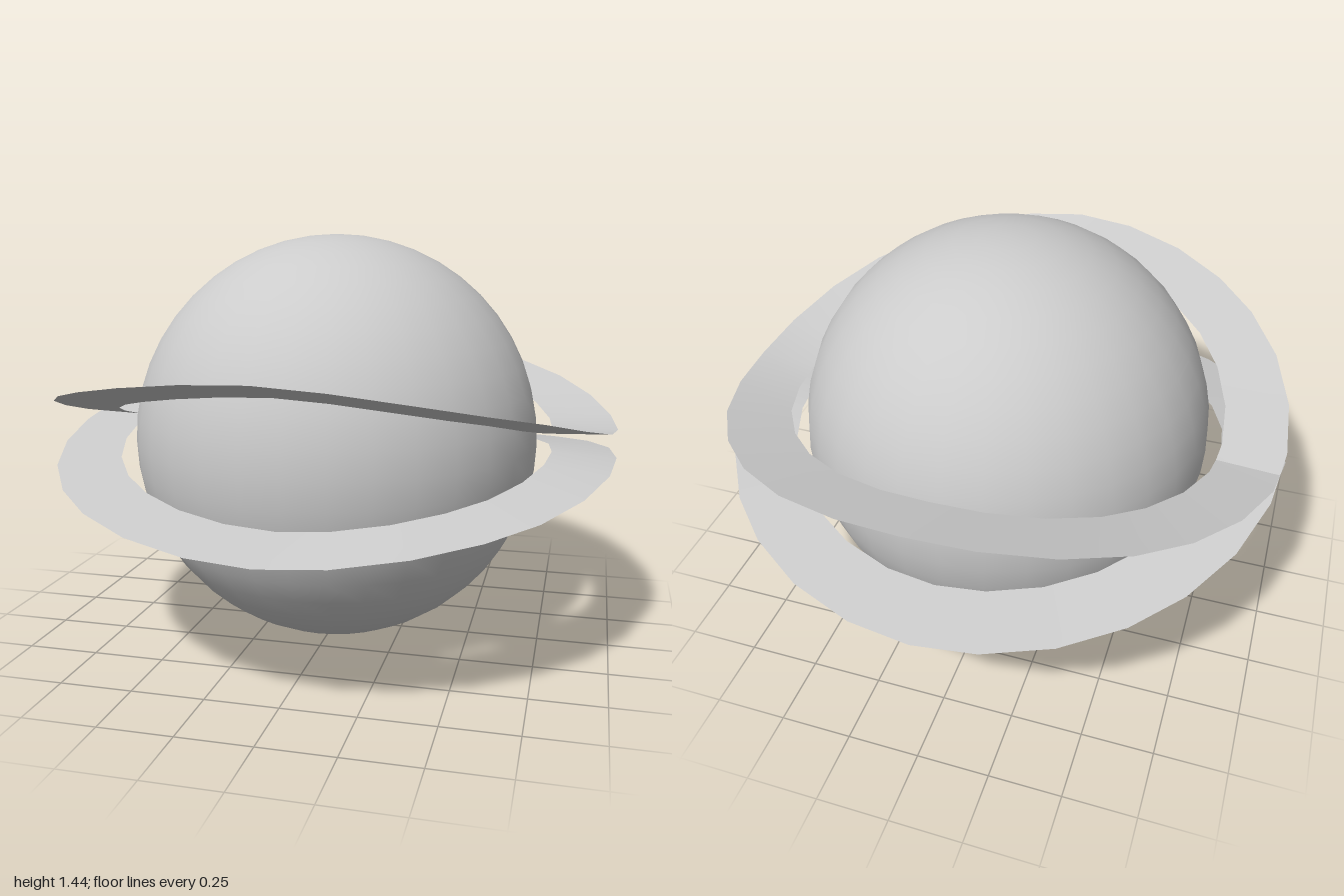
import * as THREE from 'three';

const OUTER = 0.995, INNER = 0.775, MID_Y = 0.74;

// Outer-edge heights every 45 degrees over two turns, from +x towards +z
const HEIGHTS = [
  0.79, 0.94, 1.06, 0.96, 0.775, 0.62, 0.55, 0.615,
  0.69, 0.605, 0.54, 0.61, 0.735, 0.885, 1.0, 0.895,
];

// One closed band that winds twice round the globe and crosses itself at -x
function bandGeometry(segments) {
  const path = new THREE.CatmullRomCurve3(HEIGHTS.map((y, i) => {
    const a = i * Math.PI / 4;
    return new THREE.Vector3(Math.cos(a), y, Math.sin(a));
  }), true, 'catmullrom', 0.5);

  const positions = [], index = [];
  for (let i = 0; i < segments; i++) {
    const p = path.getPoint(i / segments);
    const a = Math.atan2(p.z, p.x);
    // The band lies on lines running out from the centre
    for (const r of [OUTER, INNER]) {
      positions.push(r * Math.cos(a), MID_Y + (p.y - MID_Y) * r / OUTER, r * Math.sin(a));
    }
    const o = 2 * i, n = 2 * ((i + 1) % segments);
    index.push(o, o + 1, n, o + 1, n + 1, n);
  }
  const geometry = new THREE.BufferGeometry();
  geometry.setAttribute('position', new THREE.Float32BufferAttribute(positions, 3));
  geometry.setIndex(index);
  geometry.computeVertexNormals();
  return geometry;
}

export function createModel() {
  const model = new THREE.Group();
  model.name = 'ringedPlanet';

  // Smooth globe
  const globe = new THREE.Mesh(
    new THREE.SphereGeometry(0.722, 32, 24),
    new THREE.MeshStandardMaterial({ color: 0xcccccc }),
  );
  globe.name = 'globe';
  globe.position.set(0, 0.724, -0.005);
  model.add(globe);

  // Thin double-wound ring
  const ring = new THREE.Mesh(
    bandGeometry(56),
    new THREE.MeshStandardMaterial({ color: 0xcccccc, side: THREE.DoubleSide }),
  );
  ring.name = 'doubleRing';
  model.add(ring);

  return model;
}
